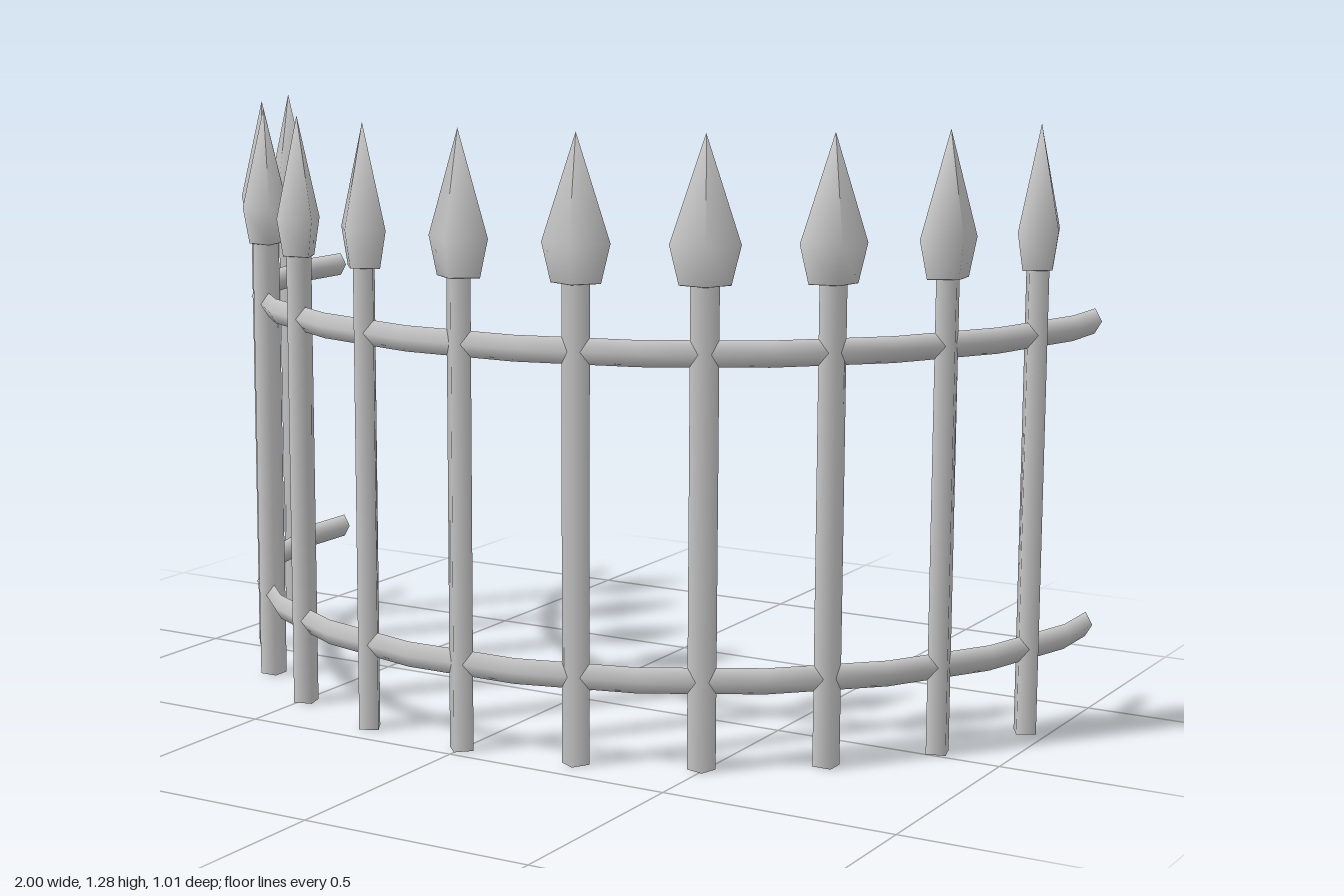
import * as THREE from 'three';

const RX = 0.984, RZ = 0.964, CZ = -0.508; // curve of the fence in plan
const STEP = Math.PI / 12;                 // angle between posts

// point on the curve at angle a (0 = front), offset outwards by d
function onCurve(a, k, d, y) {
  return [Math.sin(a) * (RX * k + d), y, CZ + Math.cos(a) * (RZ * k + d)];
}

// diamond-section rail, straight between bends that lie midway between posts
function railGeometry(halfW, halfH) {
  const angles = [-Math.PI / 2];
  for (let i = -5.5; i <= 5.5; i++) angles.push(i * STEP);
  angles.push(Math.PI / 2);
  const section = [[halfW, 0], [0, halfH], [-halfW, 0], [0, -halfH]];
  const pos = [], idx = [];
  const last = angles.length - 1;
  const ring = (i) => {
    const k = i === 0 || i === last ? 1 : 1 / Math.cos(STEP / 2);
    for (const [d, y] of section) pos.push(...onCurve(angles[i], k, d, y));
  };
  for (let i = 0; i <= last; i++) {
    ring(i);
    if (i === last) break;
    for (let j = 0; j < 4; j++) {
      const a = i * 4 + j, b = i * 4 + (j + 1) % 4;
      idx.push(a, a + 4, b, b, a + 4, b + 4);
    }
  }
  // end caps with their own corners
  let n = pos.length / 3;
  ring(0);
  idx.push(n, n + 1, n + 2, n, n + 2, n + 3);
  n += 4;
  ring(last);
  idx.push(n, n + 2, n + 1, n, n + 3, n + 2);
  const g = new THREE.BufferGeometry();
  g.setAttribute('position', new THREE.Float32BufferAttribute(pos, 3));
  g.setIndex(idx);
  g.computeVertexNormals();
  return g;
}

export function createModel() {
  const fence = new THREE.Group();
  fence.name = 'curvedFence';
  const mat = new THREE.MeshStandardMaterial({ color: 0xcccccc, side: THREE.DoubleSide });
  const add = (parent, geometry, name, y) => {
    const m = new THREE.Mesh(geometry, mat);
    m.name = name;
    m.position.y = y;
    parent.add(m);
  };

  // four-sided post and flattened spear head
  const postGeo = new THREE.CylinderGeometry(0.029, 0.029, 0.99, 4);
  const headGeo = new THREE.LatheGeometry([
    new THREE.Vector2(0, 0), new THREE.Vector2(0.052, 0), new THREE.Vector2(0.052, 0.001),
    new THREE.Vector2(0.071, 0.08), new THREE.Vector2(0, 0.298),
  ], 4);
  headGeo.scale(1, 1, 0.7);

  // posts spaced along the curve, each facing outwards
  for (let i = -5; i <= 5; i++) {
    const picket = new THREE.Group();
    picket.name = 'picket';
    picket.position.set(...onCurve(i * STEP, 1, 0, 0));
    picket.rotation.y = i * STEP;
    add(picket, postGeo, 'post', 0.495);
    add(picket, headGeo, 'spearHead', 0.982);
    fence.add(picket);
  }

  // lower and upper rails
  const railGeo = railGeometry(0.016, 0.027);
  add(fence, railGeo, 'lowerRail', 0.184);
  add(fence, railGeo, 'upperRail', 0.847);
  return fence;
}
